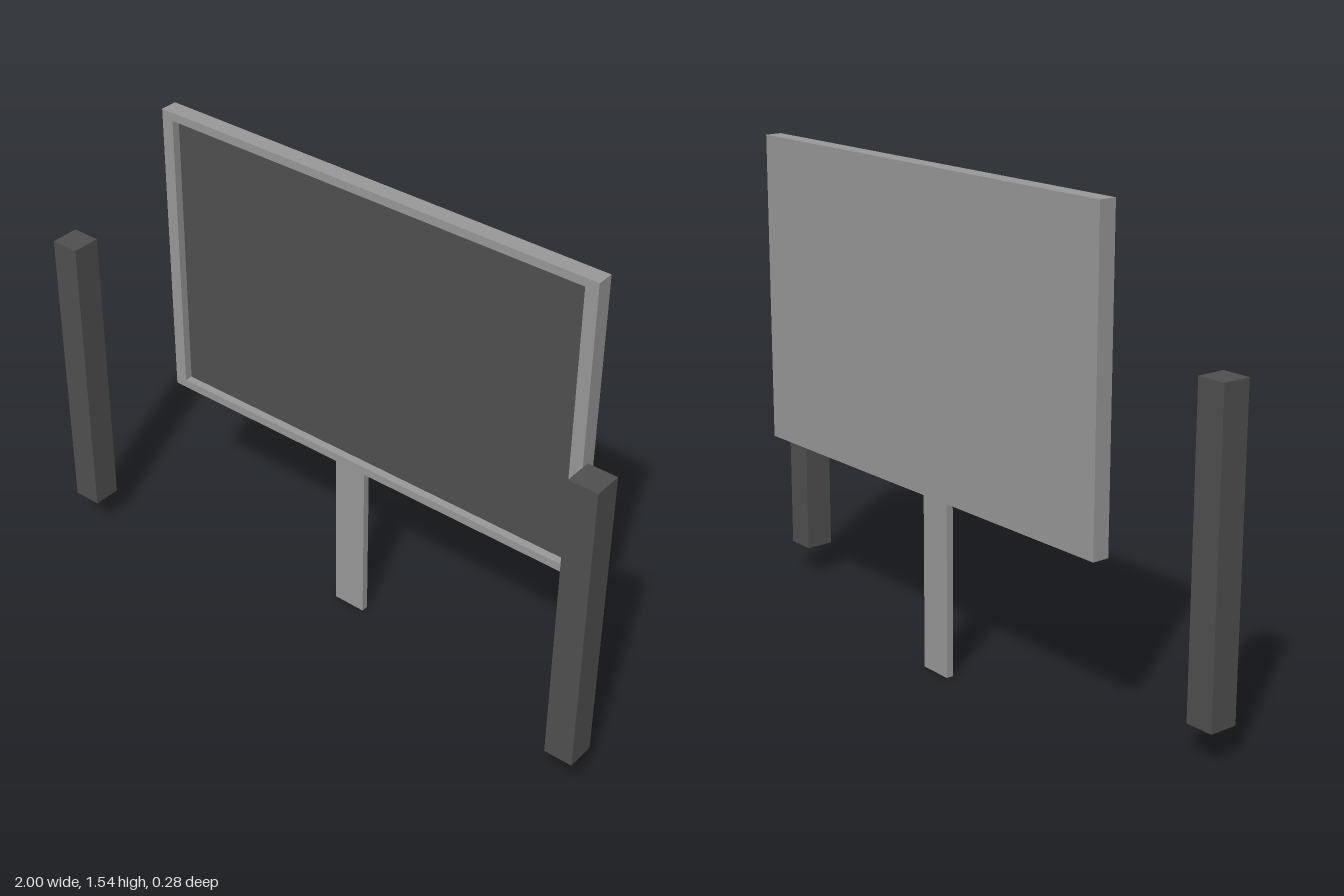
import * as THREE from 'three';

const silver = new THREE.MeshStandardMaterial({ color: 0x999999 });
const dark = new THREE.MeshStandardMaterial({ color: 0x505050 });

// Box given by its minimum and maximum corners
function box(name, material, [x0, y0, z0], [x1, y1, z1]) {
  const mesh = new THREE.Mesh(new THREE.BoxGeometry(x1 - x0, y1 - y0, z1 - z0), material);
  mesh.position.set((x0 + x1) / 2, (y0 + y1) / 2, (z0 + z1) / 2);
  mesh.name = name;
  return mesh;
}

// Traces a rectangle on a shape or hole path
function rectangle(path, x0, y0, x1, y1) {
  path.moveTo(x0, y0).lineTo(x1, y0).lineTo(x1, y1).lineTo(x0, y1).closePath();
  return path;
}

export function createModel() {
  const model = new THREE.Group();
  model.name = 'televisionWithSpeakers';

  // Television: raised bezel around a recessed screen, on a solid back
  const television = new THREE.Group();
  television.name = 'television';
  const outline = rectangle(new THREE.Shape(), -0.72, 0.56, 0.815, 1.54);
  outline.holes.push(rectangle(new THREE.Path(), -0.68, 0.587, 0.773, 1.513));
  const bezel = new THREE.Mesh(
    new THREE.ExtrudeGeometry(outline, { depth: 0.03, bevelEnabled: false }), silver);
  bezel.position.z = -0.114;
  bezel.name = 'bezel';
  television.add(
    bezel,
    box('backPanel', silver, [-0.72, 0.56, -0.139], [0.815, 1.54, -0.114]),
    box('screen', dark, [-0.68, 0.587, -0.114], [0.773, 1.513, -0.11]),
    box('stand', silver, [-0.065, 0, -0.121], [0.045, 0.56, -0.098]),
  );
  model.add(television);

  // Matching speaker columns on either side
  for (const [name, x] of [['leftSpeaker', 0.953], ['rightSpeaker', -0.953]]) {
    model.add(box(name, dark, [x - 0.047, 0.105, 0.046], [x + 0.047, 1.085, 0.139]));
  }
  return model;
}
